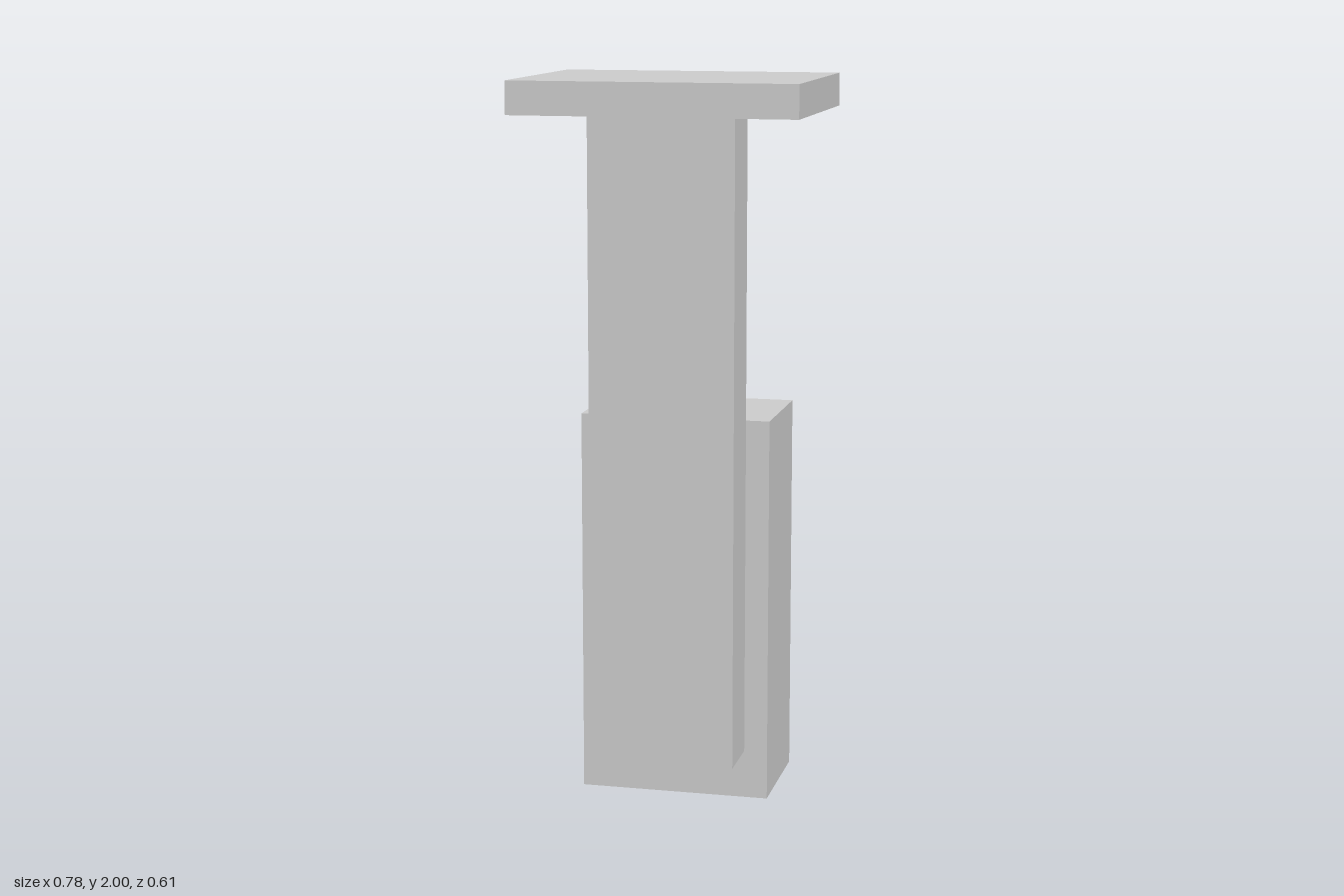
import * as THREE from 'three';

const material = new THREE.MeshStandardMaterial({ color: 0xcccccc, flatShading: true });

// Rectangles are [x0, x1, y0, y1]
function trace(path, [x0, x1, y0, y1]) {
  path.moveTo(x0, y0);
  path.lineTo(x1, y0);
  path.lineTo(x1, y1);
  path.lineTo(x0, y1);
  path.closePath();
  return path;
}

export function createModel() {
  const group = new THREE.Group();

  function add(name, geometry) {
    const mesh = new THREE.Mesh(geometry, material);
    mesh.name = name;
    group.add(mesh);
    return mesh;
  }

  // Upright plate with rectangular holes, spanning z0 to z1
  function plate(name, rect, z0, z1, holes = []) {
    const shape = trace(new THREE.Shape(), rect);
    for (const hole of holes) shape.holes.push(trace(new THREE.Path(), hole));
    const geometry = new THREE.ExtrudeGeometry(shape, { depth: z1 - z0, bevelEnabled: false });
    return add(name, geometry.translate(0, 0, z0));
  }

  // Canopy and post
  plate('canopy', [-0.39, 0.39, 1.91, 2], -0.3, 0.303);
  plate('post', [-0.2, 0.2, 0.135, 1.91], 0.03, 0.19);

  // Cabinet, open at the rear
  plate('cabinetShell', [-0.265, 0.265, 0, 1.075], -0.305, -0.02, [[-0.24, 0.24, 0.152, 1.04]]);
  plate('cabinetBack', [-0.265, 0.265, 0, 1.075], -0.02, 0.03);

  // Instrument panel: stacked plates form the stepped recesses
  const body = [-0.178, 0.178, 0.33, 0.91];
  plate('panelFace', body, -0.165, -0.14, [
    [0.062, 0.118, 0.79, 0.89],
    [-0.118, 0.05, 0.79, 0.89],
    [-0.125, 0.125, 0.38, 0.77],
  ]);
  plate('panelInset', body, -0.14, -0.12, [
    [-0.08, 0.08, 0.602, 0.717],
    [-0.08, 0.08, 0.474, 0.588],
  ]);
  plate('panelBody', body, -0.12, -0.02);

  // Lower section with a slot above the bottom lip
  plate('panelBase', [-0.178, 0.178, 0.232, 0.33], -0.14, -0.02);
  plate('panelLip', [-0.178, 0.178, 0.232, 0.25], -0.165, -0.14);
  plate('panelApron', [-0.178, 0.178, 0.265, 0.312], -0.158, -0.14);

  // Pair of triangular cradle fins
  const profile = new THREE.Shape([
    new THREE.Vector2(0.14, 0.375),
    new THREE.Vector2(0.302, 0.45),
    new THREE.Vector2(0.302, 0.462),
    new THREE.Vector2(0.14, 0.462),
  ]);
  for (const x of [-0.04, 0.04]) {
    const geometry = new THREE.ExtrudeGeometry(profile, { depth: 0.014, bevelEnabled: false });
    geometry.translate(0, 0, -0.007).rotateY(Math.PI / 2);
    add(x > 0 ? 'leftCradleFin' : 'rightCradleFin', geometry).position.x = x;
  }

  return group;
}
